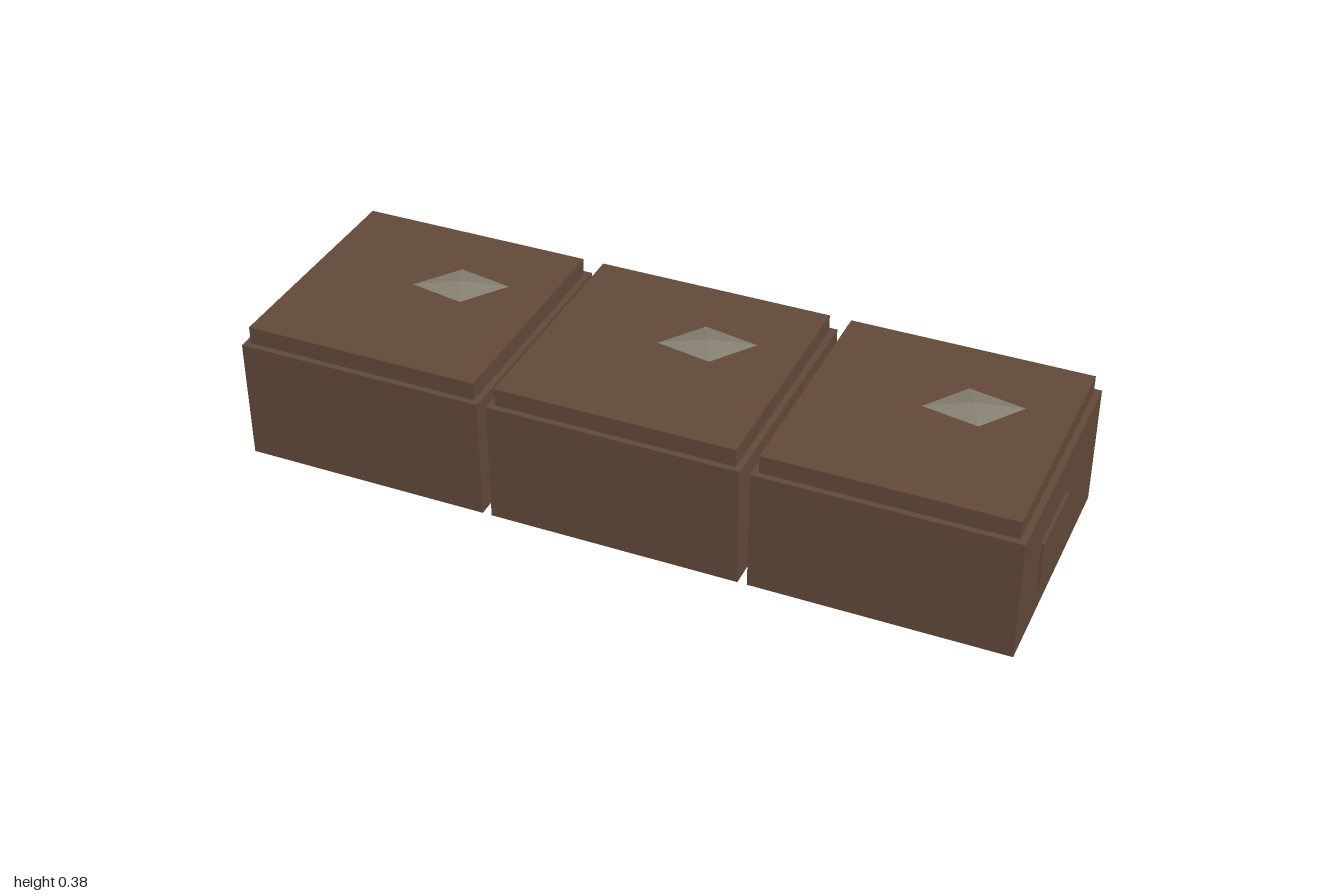
import * as THREE from 'three';

const brown = new THREE.MeshStandardMaterial({ color: 0x634a3a });
brown.name = 'brown wood';
const stone = new THREE.MeshStandardMaterial({ color: 0x858070 });
stone.name = 'grey stone';

function block(name, w, h, d, x, y, z) {
  const mesh = new THREE.Mesh(new THREE.BoxGeometry(w, h, d), brown);
  mesh.name = name;
  mesh.position.set(x, y, z);
  return mesh;
}

// Flat skewed diamond, half sunk in the lid
function makeGem() {
  const skew = new THREE.Matrix4().makeBasis(
    new THREE.Vector3(0.113, 0, -0.043),
    new THREE.Vector3(0, 0.014, 0),
    new THREE.Vector3(0.033, 0, 0.07)
  );
  const mesh = new THREE.Mesh(new THREE.OctahedronGeometry(1).applyMatrix4(skew), stone);
  mesh.name = 'gem';
  mesh.position.set(0.081, 0.371, -0.067);
  return mesh;
}

// Box with a slightly inset lid, a side plate and a gem on top
function makeBox() {
  const box = new THREE.Group();
  box.add(
    block('body', 0.648, 0.322, 0.648, 0, 0.161, 0),
    block('lid', 0.616, 0.049, 0.616, 0, 0.3445, 0),
    block('sidePlate', 0.018, 0.138, 0.212, 0.323, 0.143, 0.059),
    makeGem()
  );
  return box;
}

export function createModel() {
  const model = new THREE.Group();
  model.name = 'boxRow';
  ['rightBox', 'middleBox', 'leftBox'].forEach((name, i) => {
    const box = makeBox();
    box.name = name;
    box.position.x = -0.676 + i * 0.672;
    model.add(box);
  });
  return model;
}
